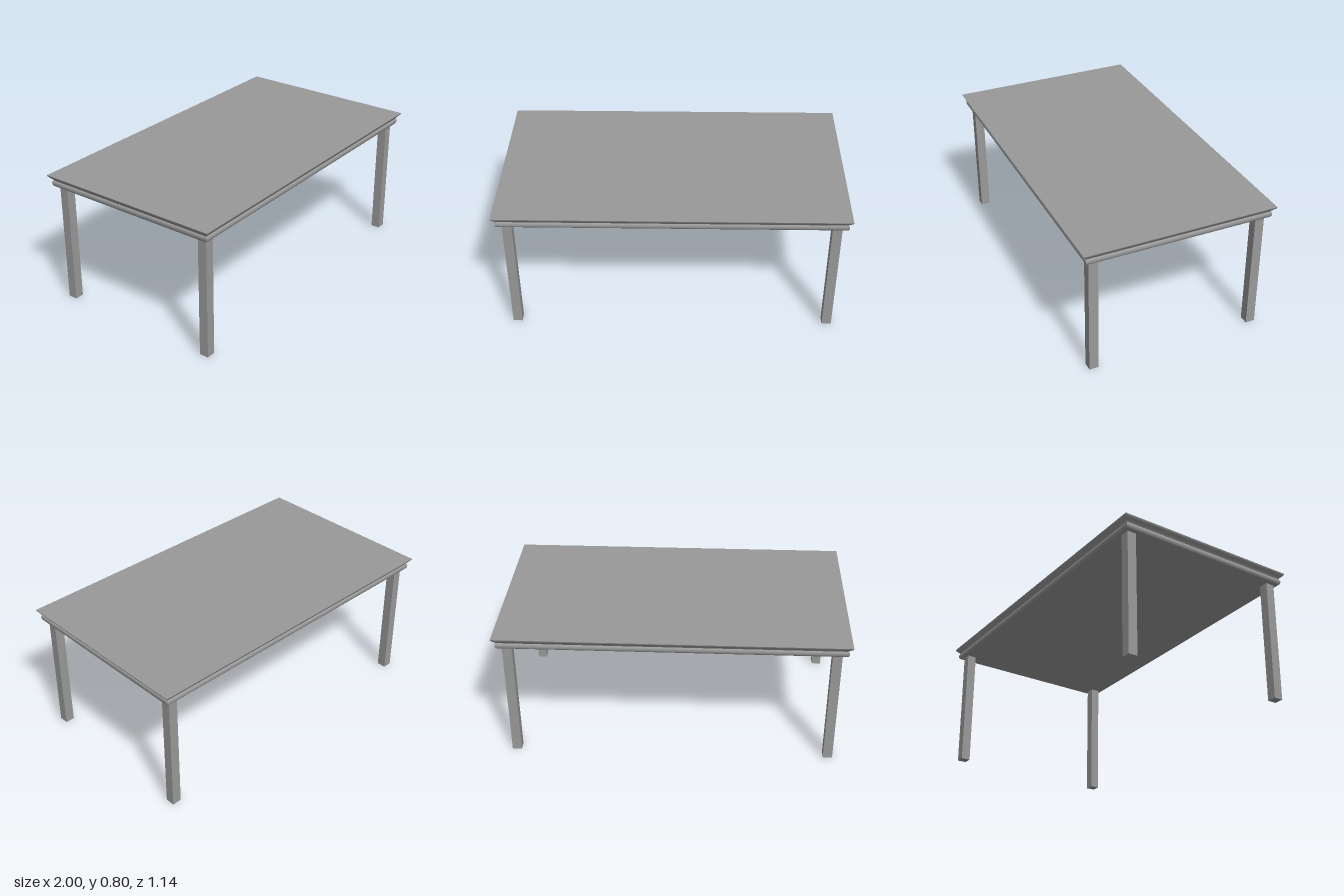
import * as THREE from 'three';
import { toCreasedNormals } from 'three/addons/utils/BufferGeometryUtils.js';

const HALF_X = 1, HALF_Z = 0.568;

// Sweeps an [inset, y] profile (listed top to bottom) around a rectangle and caps both ends
function mouldedSlab(profile) {
  const rings = profile.map(([inset, y]) => {
    const x = HALF_X - inset, z = HALF_Z - inset;
    return [[x, y, z], [x, y, -z], [-x, y, -z], [-x, y, z]];
  });
  const positions = [];
  const quad = (a, b, c, d) => positions.push(...a, ...b, ...c, ...a, ...c, ...d);
  for (let i = 0; i < rings.length - 1; i++) {
    const upper = rings[i], lower = rings[i + 1];
    for (let s = 0; s < 4; s++) {
      const n = (s + 1) % 4;
      quad(lower[s], lower[n], upper[n], upper[s]);
    }
  }
  const top = rings[0], bottom = rings[rings.length - 1];
  quad(...top);
  quad(...[...bottom].reverse());
  const geometry = new THREE.BufferGeometry();
  geometry.setAttribute('position', new THREE.Float32BufferAttribute(positions, 3));
  return toCreasedNormals(geometry, 0.7);
}

export function createModel() {
  const table = new THREE.Group();
  table.name = 'table';
  const grey = new THREE.MeshStandardMaterial({ color: 0x999999 });
  grey.name = 'grey';

  const add = (name, geometry, x = 0, y = 0, z = 0) => {
    const mesh = new THREE.Mesh(geometry, grey);
    mesh.name = name;
    mesh.position.set(x, y, z);
    table.add(mesh);
  };

  // Table top with an undercut edge
  add('tableTop', mouldedSlab([
    [0, 0.798], [0.002, 0.791], [0.007, 0.785], [0.016, 0.775], [0.023, 0.768], [0.026, 0.762],
  ]));

  // Rounded apron moulding beneath the top
  add('apron', mouldedSlab([
    [0.026, 0.763], [0.021, 0.76], [0.018, 0.753], [0.018, 0.743], [0.021, 0.734], [0.026, 0.728],
  ]));

  // Four square legs
  const leg = new THREE.BoxGeometry(0.055, 0.73, 0.055);
  for (const [sx, side] of [[1, 'Left'], [-1, 'Right']]) {
    for (const [sz, end] of [[1, 'front'], [-1, 'back']]) {
      add(`${end}${side}Leg`, leg, sx * 0.922, 0.365, sz * 0.495);
    }
  }
  return table;
}
